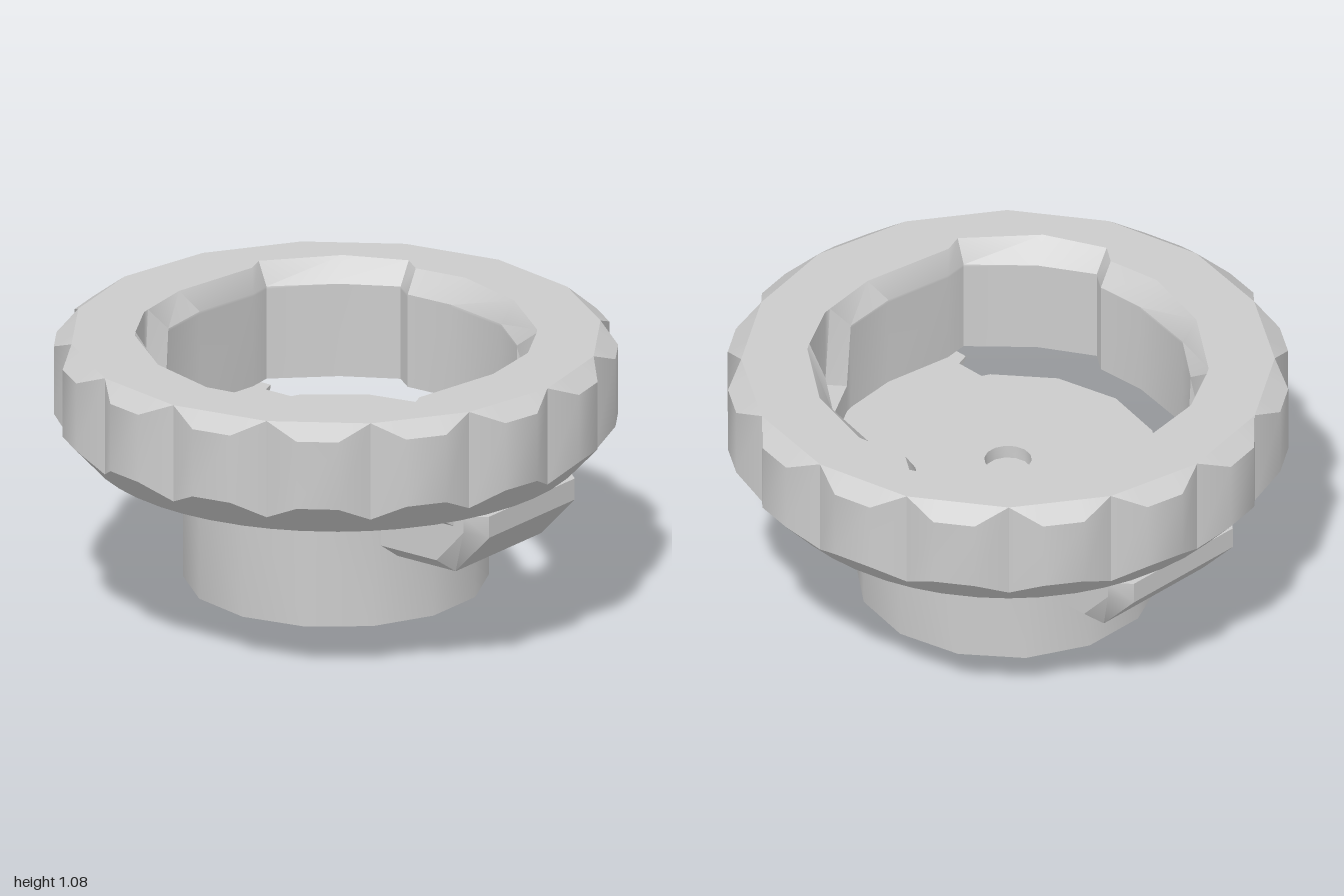
import * as THREE from 'three';
import { toCreasedNormals } from 'three/addons/utils/BufferGeometryUtils.js';

const material = new THREE.MeshStandardMaterial({ color: 0xcccccc });

function part(name, geometry) {
  const mesh = new THREE.Mesh(toCreasedNormals(geometry, 0.6), material);
  mesh.name = name;
  return mesh;
}

// Skin between closed loops of [x, y, z] points, with optional end caps
function loft(loops, capped = false) {
  const n = loops[0].length;
  const index = [];
  for (let k = 0; k < loops.length - 1; k++) {
    for (let i = 0; i < n; i++) {
      const j = (i + 1) % n;
      const a = k * n + i, b = k * n + j, c = b + n, d = a + n;
      index.push(a, b, c, a, c, d);
    }
  }
  if (capped) {
    const e = (loops.length - 1) * n;
    for (let i = 1; i < n - 1; i++) index.push(0, i + 1, i, e, e + i, e + i + 1);
  }
  const g = new THREE.BufferGeometry();
  g.setAttribute('position', new THREE.Float32BufferAttribute(loops.flat(2), 3));
  g.setIndex(index);
  return g;
}

// Flat ring between two loops, facing up or down
function annulus(outer, inner, y, up) {
  const s = up ? -1 : 1;
  const points = loop => loop.map(p => new THREE.Vector2(p[0], s * p[2]));
  const shape = new THREE.Shape(points(outer));
  shape.holes.push(new THREE.Path(points(inner)));
  return new THREE.ShapeGeometry(shape).rotateX(s * Math.PI / 2).translate(0, y, 0);
}

// Sixteen grip lobes: each has one notch and two crest points
function gripLoop(notchR, notchY, crestR, crestY) {
  const loop = [];
  const step = Math.PI / 8;
  for (let i = 0; i < 16; i++) {
    [0, 0.31, 0.69].forEach((t, k) => {
      const a = (i + t) * step;
      const r = k ? crestR : notchR;
      loop.push([r * Math.sin(a), k ? crestY : notchY, r * Math.cos(a)]);
    });
  }
  return loop;
}

function createRing() {
  const ring = new THREE.Group();
  ring.name = 'gripRing';

  const chordR = 0.95 * Math.cos(Math.PI / 16) / Math.cos(0.19 * Math.PI / 8);
  const top = gripLoop(0.95, 1.08, chordR, 1.08);
  const bottom = gripLoop(0.89, 0.65, 0.89, 0.65);
  ring.add(part('gripRim', loft([
    bottom,
    gripLoop(0.95, 0.715, 1.005, 0.775),
    gripLoop(0.95, 1.08, 1.005, 1.03),
    top,
  ])));

  // Half of the bore: upper x, z, lower x, z, and 1 where a pocket is cut
  const half = [
    [0.35, -0.645, 0.31, -0.61, 0],
    [0.42, -0.67, 0.40, -0.62, 0],
    [0.65, -0.47, 0.58, -0.43, 0],
    [0.75, -0.25, 0.69, -0.24, 0],
    [0.70, -0.18, 0.64, -0.17, 0],
    [0.73, 0.02, 0.65, 0.02, 0],
    [0.65, 0.30, 0.60, 0.28, 0],
    [0.46, 0.55, 0.46, 0.46, 0],
    [0.43, 0.57, 0.42, 0.485, 1],
    [0.25, 0.67, 0.19, 0.62, 1],
    [0.22, 0.675, 0.16, 0.63, 0],
    [0, 0.705, -0.05, 0.65, 0],
  ];
  const bore = half.concat(half.map(([a, b, c, d, e]) => [-a, -b, -c, -d, e]));
  const upper = bore.map(([x, z]) => [x, 1.08, z]);
  const middle = bore.map(([x, z, u, v, p]) => p ? [x, 0.77, z] : [u, 1.0, v]);
  const ledge = bore.map(([, , u, v, p]) => [u, p ? 0.76 : 0.99, v]);
  const lower = bore.map(([, , u, v]) => [u, 0.65, v]);
  ring.add(part('boreWall', loft([lower, ledge, middle, upper])));
  ring.add(part('topFace', annulus(top, upper, 1.08, true)));
  ring.add(part('bottomFace', annulus(bottom, lower, 0.65, false)));
  return ring;
}

// Hub with a domed post inside a groove below and a dimple on top
function createHub() {
  const profile = [
    [0, 0], [0.12, 0.035], [0.23, 0.1], [0.23, 0.35], [0.38, 0.35], [0.38, 0.105],
    [0.545, 0.16], [0.545, 0.65], [0.085, 0.65], [0.085, 0.6], [0, 0.6],
  ].map(([r, y]) => new THREE.Vector2(r, y));
  return part('hub', new THREE.LatheGeometry(profile, 14, Math.PI / 2));
}

// Bevelled arm joining the hub to the ring
function createArm() {
  const arm = new THREE.Group();
  arm.name = 'arm';
  const section = (x, pts) => pts.map(([z, y]) => [x, y, z]);
  const full = [[0.3, 0.65], [0.88, 0.65], [0.88, 0.57], [0.73, 0.41], [0.3, 0.41]];
  const side = [[0.3, 0.65], [0.81, 0.65], [0.81, 0.59], [0.69, 0.46], [0.3, 0.46]];
  arm.add(part('armBody', loft([
    section(-0.31, side), section(-0.25, full), section(0.25, full), section(0.31, side),
  ], true)));
  // Small flared webs under the ring
  const root = [[0.55, 0.65], [0.77, 0.65], [0.77, 0.6], [0.55, 0.6]];
  const tip = [[0.57, 0.65], [0.75, 0.65], [0.75, 0.64], [0.57, 0.64]];
  arm.add(part('armWebs', loft([
    section(-0.36, tip), section(-0.3, root), section(0.3, root), section(0.36, tip),
  ], true)));
  return arm;
}

export function createModel() {
  const model = new THREE.Group();
  model.name = 'handKnob';
  const frontArm = createArm();
  frontArm.name = 'frontArm';
  const backArm = createArm();
  backArm.name = 'backArm';
  backArm.rotation.y = Math.PI;
  model.add(createRing(), createHub(), frontArm, backArm);
  return model;
}
